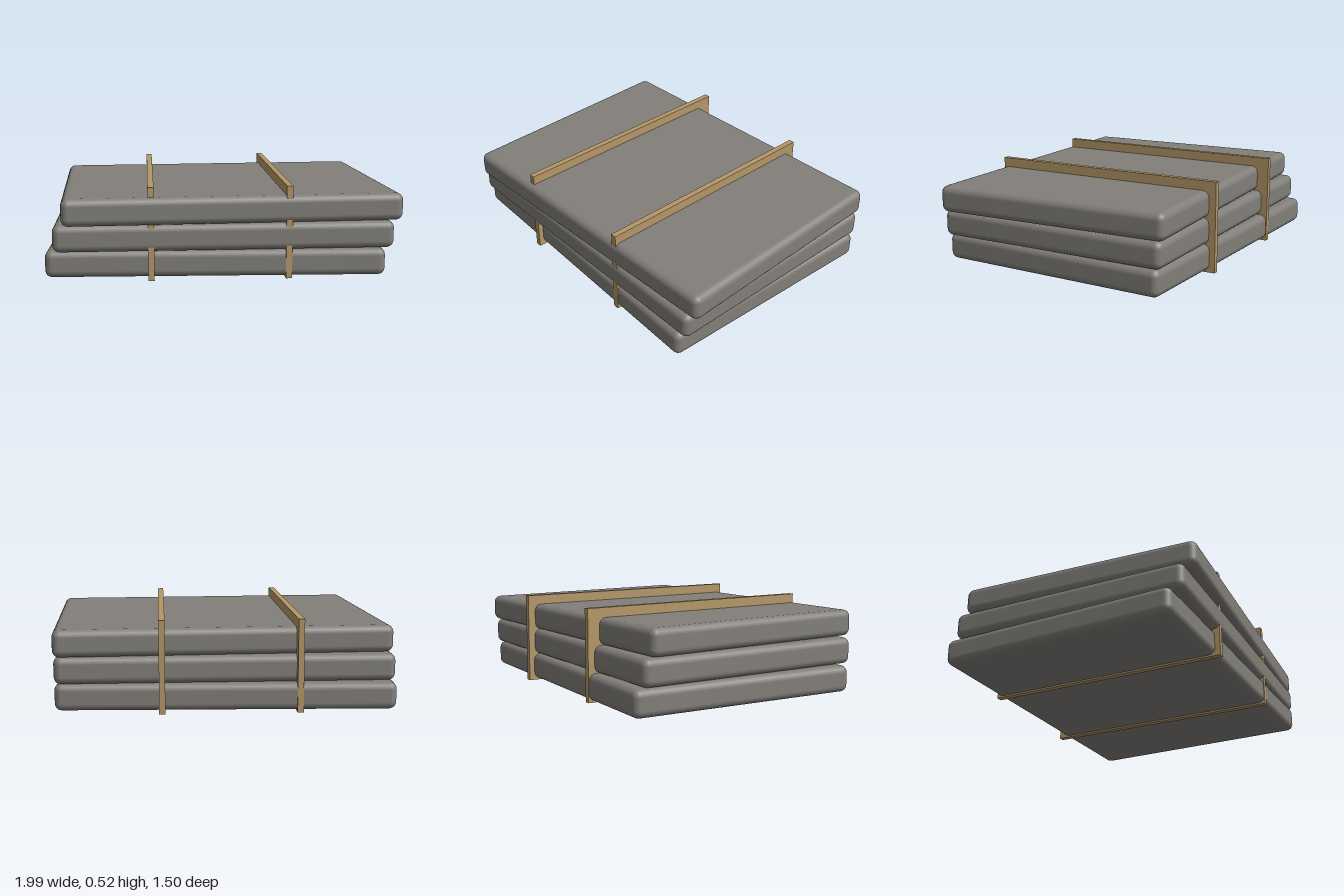
import * as THREE from 'three';
import { RoundedBoxGeometry } from 'three/addons/geometries/RoundedBoxGeometry.js';

export function createModel() {
  const model = new THREE.Group();
  model.name = 'strappedSlabStack';

  const stone = new THREE.MeshStandardMaterial({ color: 0x827f7a });
  stone.name = 'stoneGrey';
  const wood = new THREE.MeshStandardMaterial({ color: 0xb49768 });
  wood.name = 'strapTan';

  // Three soft-edged slabs, each turned slightly against the next
  const slabGeometry = new RoundedBoxGeometry(1.895, 0.152, 1.398, 3, 0.04);
  const slabs = [
    { name: 'bottomSlab', x: -0.026, z: -0.018, turn: -0.037 },
    { name: 'middleSlab', x: -0.002, z: 0.002, turn: 0 },
    { name: 'topSlab', x: 0.026, z: 0.018, turn: 0.037 },
  ];
  slabs.forEach(({ name, x, z, turn }, i) => {
    const slab = new THREE.Mesh(slabGeometry, stone);
    slab.name = name;
    slab.position.set(x, 0.086 + i * 0.152, z);
    slab.rotation.y = turn;
    model.add(slab);
  });

  // Two upright bands running front to back through the stack
  const back = -0.736, front = 0.698, height = 0.521;
  const strapGeometry = new THREE.BoxGeometry(0.034, height, front - back);
  [['rightStrap', -0.41], ['leftStrap', 0.353]].forEach(([name, x]) => {
    const strap = new THREE.Mesh(strapGeometry, wood);
    strap.name = name;
    strap.position.set(x, height / 2, (front + back) / 2);
    model.add(strap);
  });

  return model;
}
